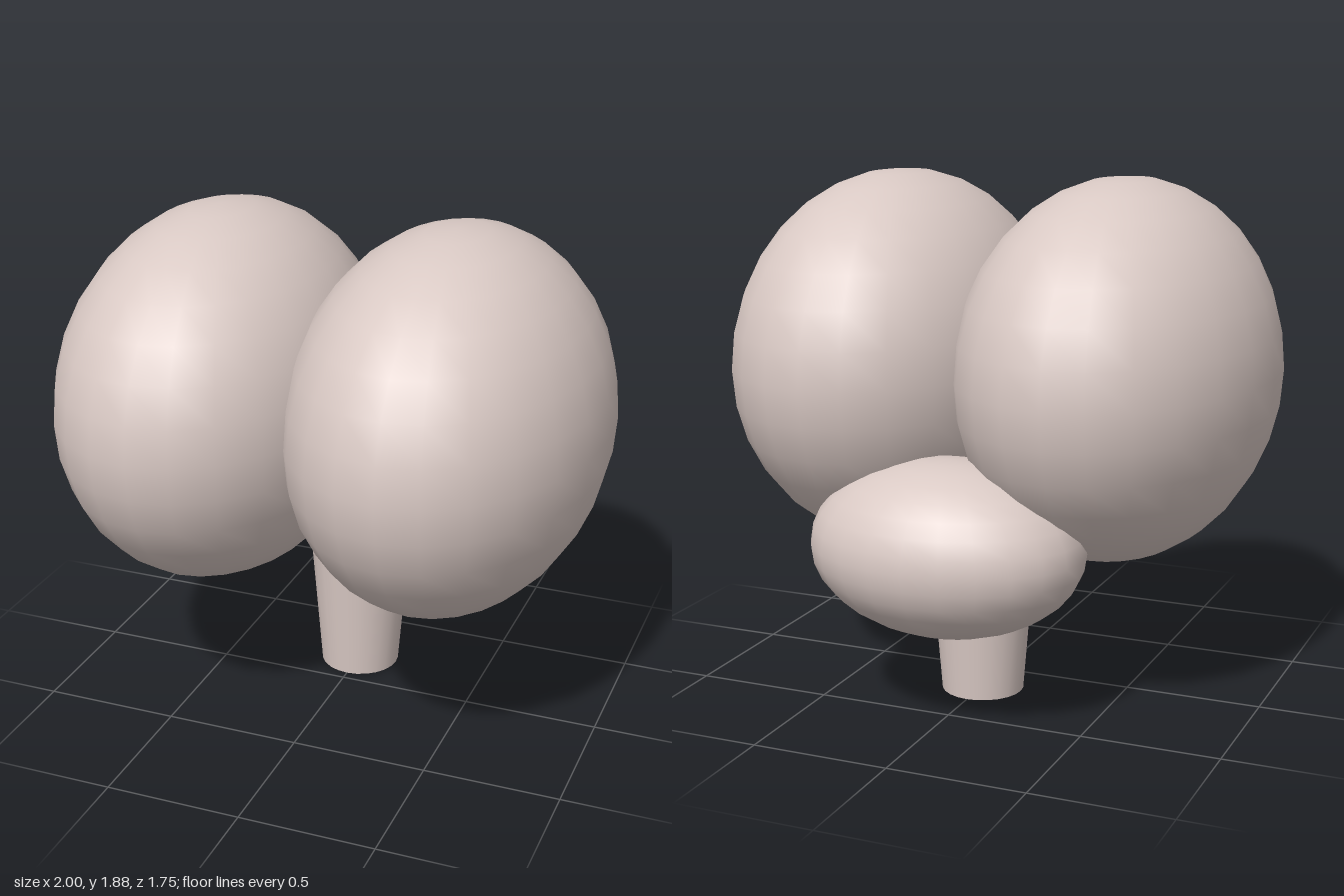
import * as THREE from 'three';

export function createModel() {
  const model = new THREE.Group();
  model.name = 'brain';
  const tissue = new THREE.MeshStandardMaterial({ color: 0xd9c9c4 });
  tissue.name = 'pale pink tissue';

  const add = (name, geometry, x, y, z) => {
    const mesh = new THREE.Mesh(geometry, tissue);
    mesh.name = name;
    mesh.position.set(x, y, z);
    model.add(mesh);
  };
  const ellipsoid = (rx, ry, rz) => new THREE.SphereGeometry(1, 24, 16).scale(rx, ry, rz);

  // Two large lobes that meet on the centre plane
  for (const [name, side] of [['leftHemisphere', 1], ['rightHemisphere', -1]]) {
    add(name, ellipsoid(0.5625, 0.6875, 0.8125), side * 0.4375, 1.1875, 0.0625);
  }

  // Small lobe low at the back
  add('cerebellum', ellipsoid(0.5, 0.3125, 0.375), 0, 0.625, -0.5);

  // Tapered stem, its top buried between the lobes
  const height = 0.88;
  add('brainStem', new THREE.CylinderGeometry(0.22, 0.15, height, 24), 0, height / 2, -0.1875);

  return model;
}
